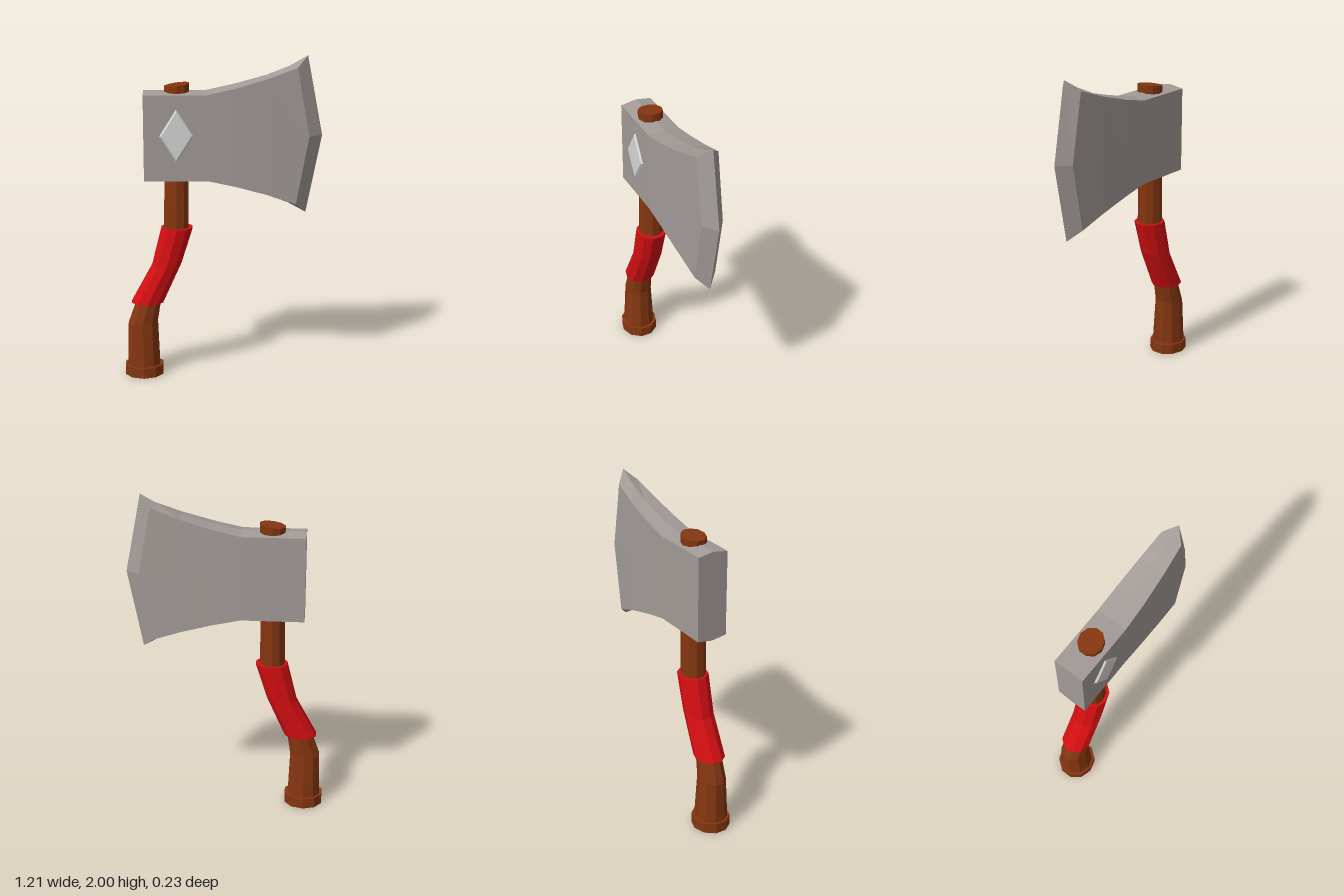
import * as THREE from 'three';

// Skin closed cross-sections (each counter-clockwise about the direction of travel)
function loft(sections, capEnd = true) {
  const pos = [];
  const tri = (a, b, c) => {
    const n = b.clone().sub(a).cross(c.clone().sub(a));
    if (n.length() > 1e-8) for (const p of [a, b, c]) pos.push(p.x, p.y, p.z);
  };
  const n = sections[0].length;
  for (let i = 0; i < sections.length - 1; i++) {
    const s = sections[i], t = sections[i + 1];
    for (let j = 0; j < n; j++) {
      const k = (j + 1) % n;
      tri(s[j], s[k], t[k]);
      tri(s[j], t[k], t[j]);
    }
  }
  const first = sections[0], last = sections[sections.length - 1];
  for (let j = 1; j < n - 1; j++) {
    tri(first[0], first[j + 1], first[j]);
    if (capEnd) tri(last[0], last[j], last[j + 1]);
  }
  const g = new THREE.BufferGeometry();
  g.setAttribute('position', new THREE.Float32BufferAttribute(pos, 3));
  g.computeVertexNormals();
  return g;
}

// Ten-sided ring: centre x, height, half width, half depth, rise of the +x side
function ring([cx, y, hx, hz, rise = 0]) {
  return Array.from({ length: 10 }, (_, i) => {
    const a = (i / 10) * Math.PI * 2;
    const u = Math.sin(a) / Math.cos(Math.PI / 10);
    return new THREE.Vector3(cx + hx * u, y + rise * u, hz * Math.cos(a));
  });
}

export function createModel() {
  const group = new THREE.Group();
  const material = (name, color) => {
    const m = new THREE.MeshStandardMaterial({ color, flatShading: true });
    m.name = name;
    return m;
  };
  const wood = material('brown wood', 0x853610);
  const red = material('red wrap', 0xd60f12);
  const steel = material('grey steel', 0xa29b98);
  const silver = material('pale silver', 0xd6d6d6);

  const add = (name, geometry, mat) => {
    const mesh = new THREE.Mesh(geometry, mat);
    mesh.name = name;
    group.add(mesh);
    return mesh;
  };

  // Curved handle with a wider foot and a slanted top
  add('pommel', loft([
    [-0.488, 0, 0.117, 0.115],
    [-0.488, 0.065, 0.117, 0.115],
  ].map(ring)), wood);
  add('handle', loft([
    [-0.49, 0.06, 0.1, 0.1],
    [-0.492, 0.34, 0.091, 0.083, 0.01],
    [-0.457, 0.475, 0.078, 0.076, 0.01],
    [-0.34, 0.72, 0.075, 0.075, 0.01],
    [-0.28, 0.95, 0.075, 0.075],
    [-0.277, 1.26, 0.072, 0.073],
    [-0.27, 1.83, 0.075, 0.074, 0.01],
  ].map(ring)), wood);
  add('gripWrap', loft([
    [-0.463, 0.472, 0.097, 0.092],
    [-0.34, 0.72, 0.091, 0.09, 0.012],
    [-0.275, 0.952, 0.095, 0.092],
  ].map(ring)), red);

  // Axe head: corner x, ridge x, middle x, corner y, ridge y, corner z, middle z
  const midY = 1.52;
  const headSections = [
    [-0.47, -0.47, -0.47, 1.78, 1.795, 0.097, 0.097],
    [-0.09, -0.09, -0.09, 1.78, 1.792, 0.097, 0.097],
    [0.08, 0.08, 0.08, 1.818, 1.828, 0.093, 0.093],
    [0.27, 0.27, 0.27, 1.872, 1.88, 0.083, 0.084],
    [0.445, 0.4, 0.52, 1.935, 1.938, 0.068, 0.066],
    [0.51, 0.51, 0.603, 2.0, 2.0, 0, 0],
  ].map(([cx, rx, mx, cy, ry, cz, mz]) => {
    const v = (x, y, z) => new THREE.Vector3(x, y, z);
    const low = (y) => 2 * midY - y;
    return [
      v(rx, ry, 0), v(cx, cy, cz), v(mx, midY, mz), v(cx, low(cy), cz),
      v(rx, low(ry), 0), v(cx, low(cy), -cz), v(mx, midY, -mz), v(cx, cy, -cz),
    ];
  });
  add('axeHead', loft(headSections, false), steel);

  // Bevelled diamond on the front cheek
  const diamond = new THREE.CylinderGeometry(0.82, 1, 0.02, 4);
  diamond.rotateX(Math.PI / 2);
  diamond.scale(0.11, 0.175, 1);
  add('diamondInlay', diamond, silver).position.set(-0.275, 1.535, 0.098);

  return group;
}
